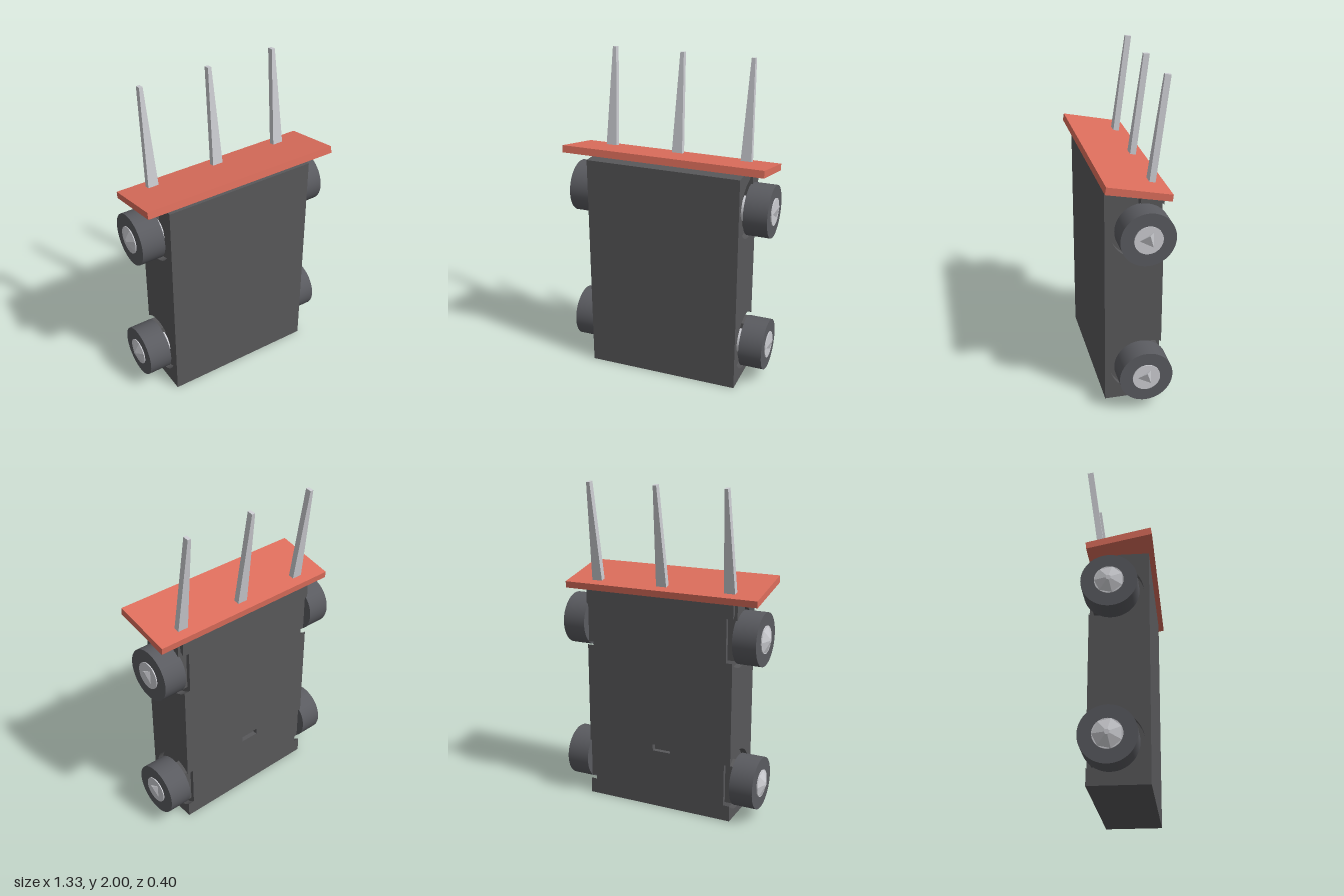
import * as THREE from 'three';

const mat = (name, color, side = THREE.FrontSide) => {
  const m = new THREE.MeshStandardMaterial({ color, side });
  m.name = name;
  return m;
};

export function createModel() {
  const dark = mat('dark grey', 0x58585a);
  const rubber = mat('wheel grey', 0x5a5b60);
  const red = mat('red', 0xdd6e5c);
  const pale = mat('pale grey', 0xcccdd2);

  const model = new THREE.Group();
  model.name = 'wheeledSlab';
  const add = (name, geometry, material, parent = model) => {
    const mesh = new THREE.Mesh(geometry, material);
    mesh.name = name;
    parent.add(mesh);
    return mesh;
  };
  const box = (x0, x1, y0, y1, z0, z1) =>
    new THREE.BoxGeometry(x1 - x0, y1 - y0, z1 - z0)
      .translate((x0 + x1) / 2, (y0 + y1) / 2, (z0 + z1) / 2);
  // cylinder along x between two x positions
  const axial = (r0, r1, x0, x1, sides = 48) =>
    new THREE.CylinderGeometry(r1, r0, x1 - x0, sides).rotateZ(-Math.PI / 2)
      .translate((x0 + x1) / 2, 0, 0);

  const wheelY = [0.23, 1.13], wheelZ = -0.04, archR = 0.185;
  const back = -0.17, front = 0.175, height = 1.38, inner = 0.44;

  // Body core, with a shallow slot in its back panel
  add('bodyCore', box(-inner, inner, 0, height, back + 0.03, front), dark);
  const panel = new THREE.Shape([[-inner, 0], [inner, 0], [inner, height], [-inner, height]]
    .map(p => new THREE.Vector2(...p)));
  panel.holes.push(new THREE.Path([[-0.085, 0.37], [-0.085, 0.41], [0.035, 0.41], [0.035, 0.37]]
    .map(p => new THREE.Vector2(...p))));
  add('backPanel', new THREE.ExtrudeGeometry(panel, { depth: 0.03, bevelEnabled: false })
    .translate(0, 0, back), dark);

  // Side slabs with round wheel arches open to the back
  const side = new THREE.Shape();
  const a = Math.acos((back - wheelZ) / archR);
  side.moveTo(back, 0).lineTo(front, 0).lineTo(front, height).lineTo(back, height);
  for (const y of [...wheelY].reverse()) side.absarc(wheelZ, y, archR, a, -a, true);
  side.closePath();
  for (const s of [1, -1]) {
    add(s > 0 ? 'leftSide' : 'rightSide',
      new THREE.ExtrudeGeometry(side, { depth: 0.04, bevelEnabled: false, curveSegments: 32 })
        .rotateY(-Math.PI / 2).translate(s > 0 ? 0.48 : -inner, 0, 0), dark);
  }

  // Wheels, hubs and their mounting blocks
  for (const s of [1, -1]) {
    wheelY.forEach((y, i) => {
      const wheel = new THREE.Group();
      wheel.name = (i ? 'upper' : 'lower') + (s > 0 ? 'LeftWheel' : 'RightWheel');
      wheel.position.set(0, y, wheelZ);
      if (s < 0) wheel.rotation.y = Math.PI;
      model.add(wheel);
      add('tyre', axial(0.16, 0.16, 0.487, 0.632), rubber, wheel);
      add('hub', axial(0.083, 0.083, 0.45, 0.638), pale, wheel);
      // cap: a low cone on one side, a raised arrow-like wedge on the other
      if (s < 0) {
        add('hubCap', axial(0.083, 0.015, 0.638, 0.662, 7).toNonIndexed(), pale, wheel)
          .geometry.computeVertexNormals();
      } else {
        const cap = new THREE.ConeGeometry(0.055, 0.026, 3).toNonIndexed();
        cap.computeVertexNormals();
        cap.rotateZ(-Math.PI / 2).translate(0.65, 0, 0);
        const p = cap.attributes.position;
        // lean the apex upward
        for (let k = 0; k < p.count; k++) if (p.getX(k) > 0.66) p.setY(k, 0.04);
        cap.computeVertexNormals();
        add('hubCap', cap, pale, wheel);
      }
      const block = s > 0 ? [inner, 0.497] : [-0.497, -inner];
      add('wheelMount', box(...block, y - 0.12, y + (i ? 0.23 : 0.12), -0.145, -0.03), dark);
    });
  }

  // Tilted roof plate
  const roof = new THREE.Shape([[-0.172, 1.344], [0.203, 1.42], [0.196, 1.463], [-0.176, 1.384]]
    .map(p => new THREE.Vector2(...p)));
  add('roofPlate', new THREE.ExtrudeGeometry(roof, { depth: 1.25, bevelEnabled: false })
    .rotateY(-Math.PI / 2).translate(0.625, 0, 0), red);

  // Tapered spikes leaning backward
  for (const x of [-0.435, 0, 0.435]) {
    const spike = new THREE.BoxGeometry(1, 0.62, 0.036).toNonIndexed();
    const p = spike.attributes.position;
    for (let k = 0; k < p.count; k++) {
      const t = p.getY(k) / 0.62 + 0.5;
      const tipDrop = t > 0.5 && p.getZ(k) < 0 ? 0.005 : 0;
      p.setXYZ(k, x + p.getX(k) * (0.068 - 0.046 * t), 1.38 + 0.62 * t - tipDrop,
        p.getZ(k) - 0.098 - 0.084 * t);
    }
    spike.computeVertexNormals();
    add('spike', spike, pale);
  }

  return model;
}
